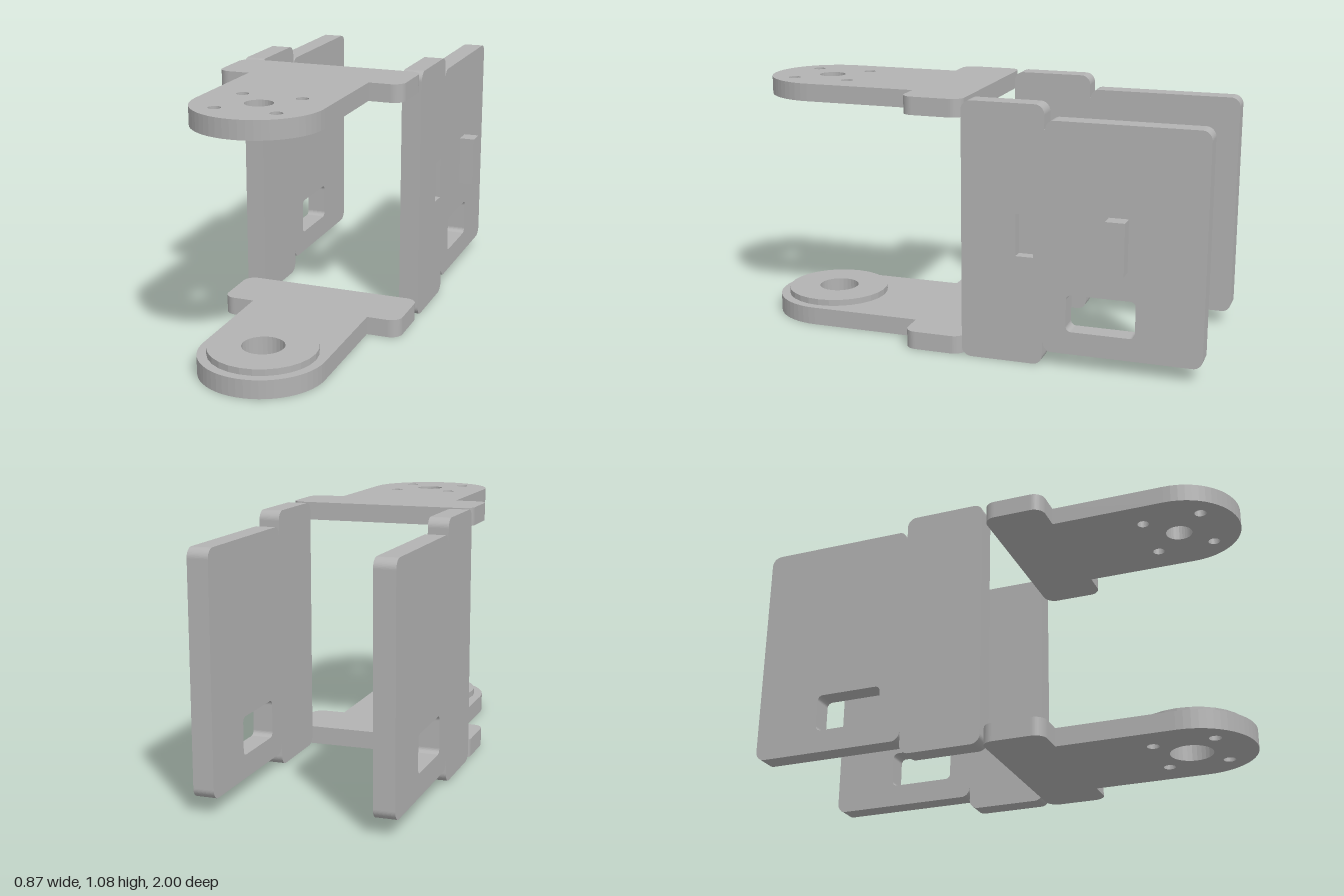
import * as THREE from 'three';

const metal = new THREE.MeshStandardMaterial({ color: 0xb2b2b2 });
metal.name = 'greyMetal';

// Closed outline through right-angled corners [x, y, radius], each rounded by its radius
function outline(corners, path = new THREE.Shape()) {
  const n = corners.length;
  const k = 0.4477;
  const pts = corners.map(([x, y]) => new THREE.Vector2(x, y));
  corners.forEach(([, , r], i) => {
    const p = pts[i];
    const toPrev = pts[(i + n - 1) % n].clone().sub(p).normalize();
    const toNext = pts[(i + 1) % n].clone().sub(p).normalize();
    const at = (dir, d) => p.clone().addScaledVector(dir, d);
    const a = at(toPrev, r), b = at(toNext, r);
    if (i === 0) path.moveTo(a.x, a.y); else path.lineTo(a.x, a.y);
    if (r > 0) {
      const c = at(toPrev, r * k), d = at(toNext, r * k);
      path.bezierCurveTo(c.x, c.y, d.x, d.y, b.x, b.y);
    }
  });
  path.closePath();
  return path;
}

const rect = (x0, y0, x1, y1, r) => [[x0, y0, r], [x1, y0, r], [x1, y1, r], [x0, y1, r]];
const circle = (x, y, r, path = new THREE.Path()) => path.absarc(x, y, r, 0, Math.PI * 2, false);

function extrude(shape, depth) {
  return new THREE.ExtrudeGeometry(shape, { depth, bevelEnabled: false, curveSegments: 14 });
}

function mesh(name, geometry) {
  const m = new THREE.Mesh(geometry, metal);
  m.name = name;
  return m;
}

// Flat part: shape in (x, z), from y0 up to y1
function flatPart(name, shape, y0, y1) {
  return mesh(name, extrude(shape, y1 - y0).rotateX(Math.PI / 2).translate(0, y1, 0));
}

// Upright part: shape in (-z, y), from x0 to x1
function uprightPart(name, shape, x0, x1) {
  return mesh(name, extrude(shape, x1 - x0).rotateY(Math.PI / 2).translate(x0, 0, 0));
}

const CX = -0.035, CZ = 0.738;

// T-shaped arm with a round tip, a hub hole and four screw holes
function armShape(hubRadius) {
  const s = outline([
    [-0.435, 0, 0.05], [0.365, 0, 0.05], [0.365, 0.26, 0.05], [0.225, 0.26, 0],
    [0.225, 1, 0.2599], [-0.295, 1, 0.2599], [-0.295, 0.26, 0], [-0.435, 0.26, 0.05],
  ]);
  s.holes.push(circle(CX, CZ, hubRadius));
  for (const dx of [-0.123, 0.123])
    for (const dz of [-0.123, 0.123]) s.holes.push(circle(CX + dx, CZ + dz, 0.025));
  return s;
}

// Side panel: tall front block, slightly lower rear panel, notches between, one window
function panelShape(withSlot) {
  const s = outline([
    [0, 0, 0.04], [0.345, 0, 0.04], [0.345, 0.096, 0], [0.349, 0.096, 0],
    [0.349, 0.06, 0.035], [1, 0.06, 0.04], [1, 1.015, 0.04], [0.349, 1.015, 0.035],
    [0.349, 0.979, 0], [0.345, 0.979, 0], [0.345, 1.075, 0.04], [0, 1.075, 0.04],
  ]);
  s.holes.push(outline(rect(0.443, 0.155, 0.727, 0.311, 0.022), new THREE.Path()));
  if (withSlot) s.holes.push(outline(rect(0.23, 0.452, 0.305, 0.628, 0), new THREE.Path()));
  return s;
}

export function createModel() {
  const model = new THREE.Group();
  model.name = 'servoBracket';

  // Arms
  model.add(flatPart('topArm', armShape(0.056), 1.0, 1.075));
  model.add(flatPart('bottomArm', armShape(0.087), 0, 0.077));

  // Raised ring on the bottom arm
  const ring = circle(CX, CZ + 0.002, 0.222, new THREE.Shape());
  ring.holes.push(circle(CX, CZ, 0.087));
  model.add(flatPart('hubRing', ring, 0.077, 0.104));

  // Side panels; the left one has a blind slot on its outer face
  model.add(uprightPart('rightPanel', panelShape(false), -0.435, -0.35));
  const left = new THREE.Group();
  left.name = 'leftPanel';
  left.add(uprightPart('leftPanelInner', panelShape(false), 0.28, 0.318));
  left.add(uprightPart('leftPanelOuter', panelShape(true), 0.318, 0.365));
  model.add(left);

  // Peg on the left panel
  model.add(uprightPart('peg', outline(rect(0.61, 0.43, 0.69, 0.646, 0)), 0.365, 0.431));

  return model;
}
